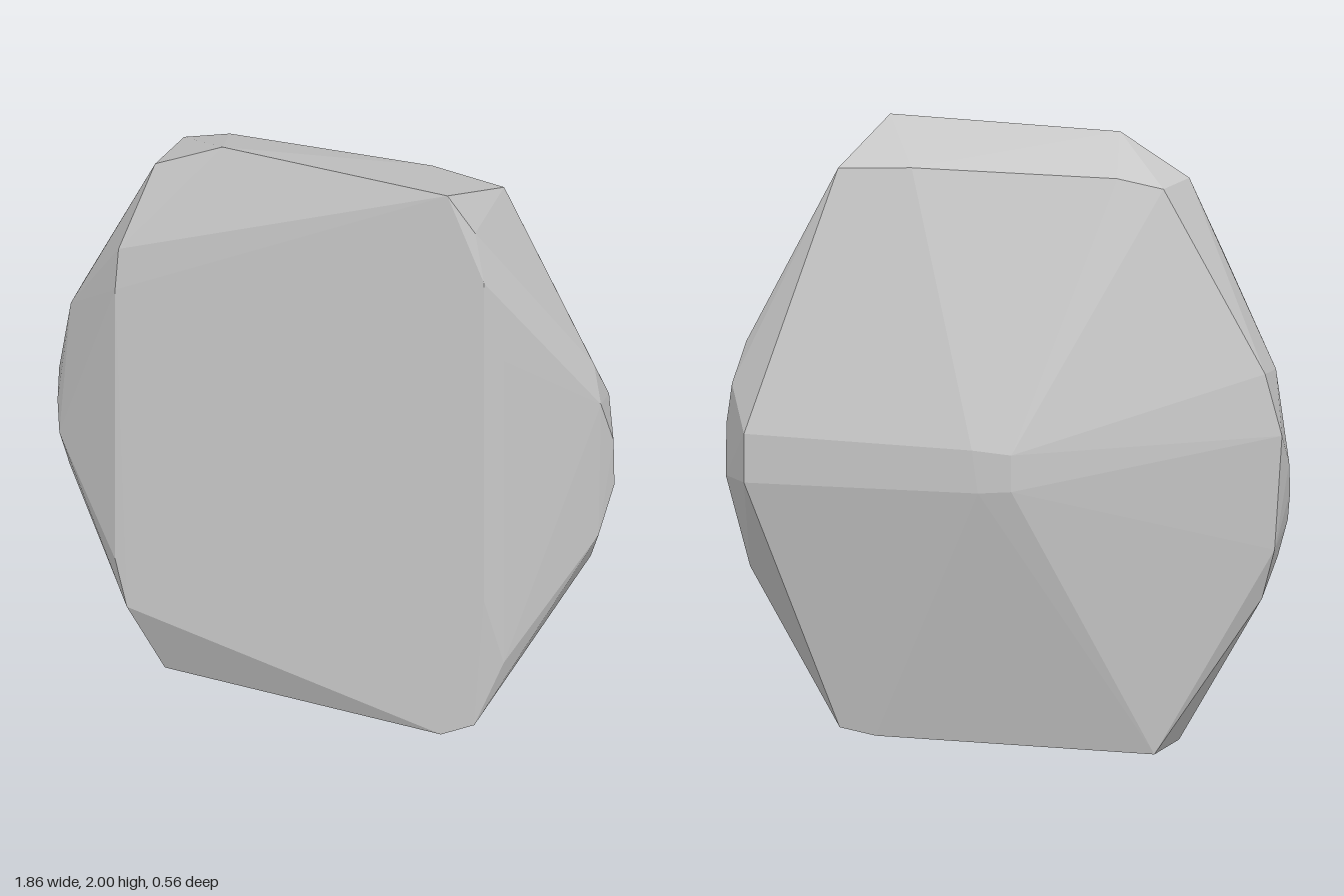
import * as THREE from 'three';
import { ConvexGeometry } from 'three/addons/geometries/ConvexGeometry.js';

const toVectors = (rows) => rows.map((p) => new THREE.Vector3(...p));

export function createModel() {
  const group = new THREE.Group();
  group.name = 'stone';

  const stoneGrey = new THREE.MeshStandardMaterial({ color: 0xc8c8c8 });
  stoneGrey.name = 'stoneGrey';

  // Broad, nearly flat front face with a narrow bevel on its left edge
  const front = [
    [0.45, 2.0, 0.272], [0.54, 1.87, 0.262], [0.575, 1.7, 0.28], [0.575, 0.52, 0.28],
    [0.63, 1.4, 0.241], [0.63, 0.28, 0.243], [0.54, 0.05, 0.273], [0.43, 0.0, 0.278],
    [-0.63, 0.28, 0.247], [-0.67, 0.45, 0.245], [-0.67, 1.45, 0.245], [-0.66, 1.6, 0.24],
  ];
  // Chipped upper rim
  const top = [
    [-0.33, 2.0, 0.18], [-0.57, 1.87, 0.13], [0.55, 1.88, -0.03],
    [0.3, 1.9, -0.063], [-0.38, 1.9, -0.073], [-0.53, 1.87, -0.06],
  ];
  // Rounded chips along both sides
  const sides = [
    [0.86, 1.29, 0.0], [0.895, 1.17, 0.04], [0.895, 1.16, -0.05], [0.925, 1.02, 0.0], [0.925, 0.85, -0.01],
    [0.885, 0.68, 0.035], [0.84, 0.56, -0.03],
    [-0.865, 1.28, -0.06], [-0.87, 1.27, 0.07], [-0.92, 1.08, -0.058], [-0.93, 0.98, 0.0], [-0.925, 0.88, 0.035],
    [-0.91, 0.78, 0.065], [-0.89, 0.7, -0.035], [-0.88, 0.66, 0.05], [-0.84, 0.53, 0.0],
  ];
  // Lower rim
  const bottom = [
    [0.54, 0.05, -0.05], [0.42, 0.03, -0.058], [-0.53, 0.02, 0.155], [-0.5, 0.015, -0.062],
  ];
  // Shallow ridge across the back
  const back = [
    [0.82, 1.03, -0.2], [0.82, 0.87, -0.2],
    [0.05, 1.03, -0.28], [-0.08, 1.02, -0.28], [-0.08, 0.9, -0.28], [0.03, 0.89, -0.28],
  ];

  const points = toVectors([...front, ...top, ...sides, ...bottom, ...back]);
  const body = new THREE.Mesh(new ConvexGeometry(points), stoneGrey);
  body.name = 'stoneBody';
  group.add(body);
  return group;
}
